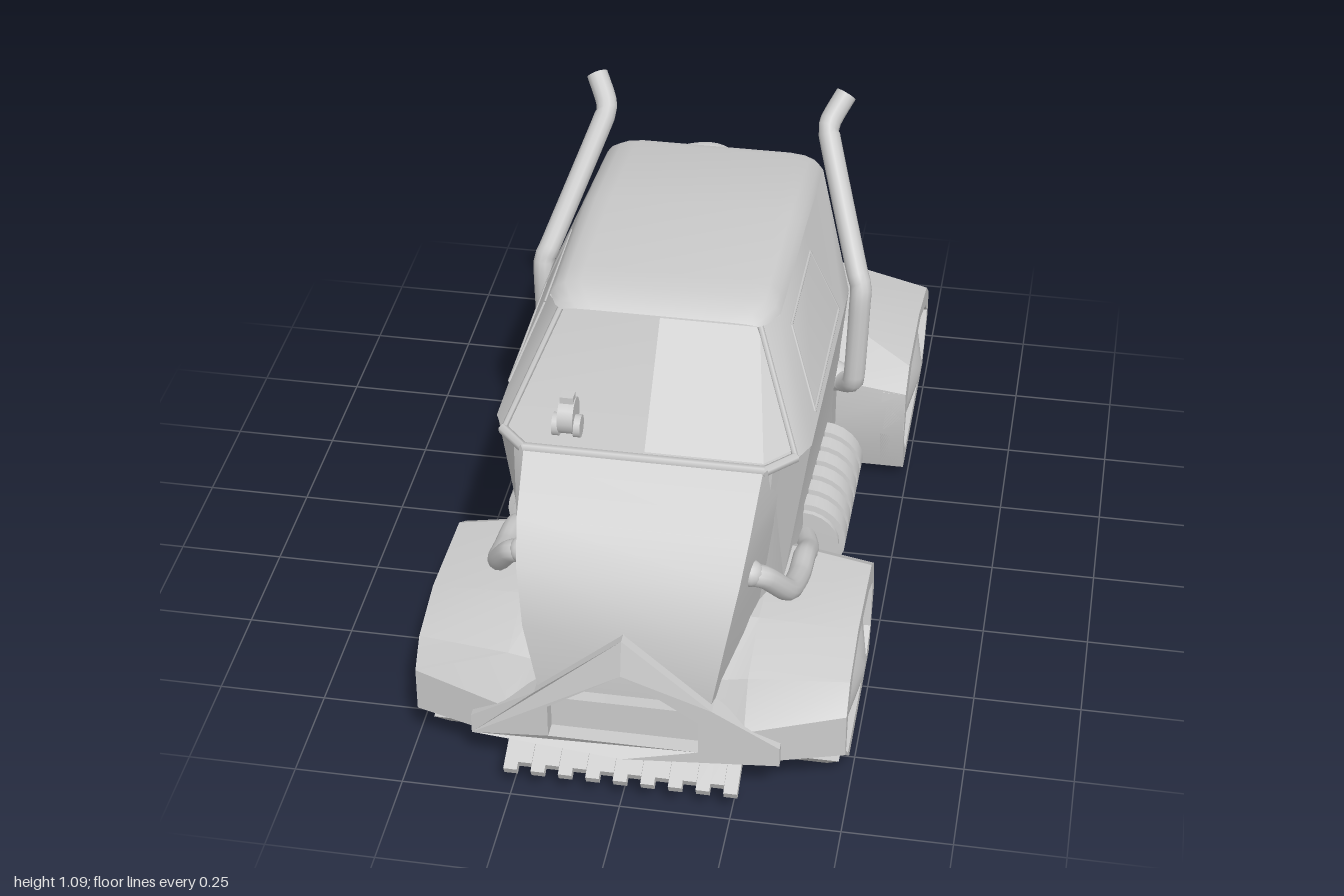
import * as THREE from 'three';
import { toCreasedNormals } from 'three/addons/utils/BufferGeometryUtils.js';

const V = (x, y, z) => new THREE.Vector3(x, y, z);
const solid = new THREE.MeshStandardMaterial({ color: 0xcccccc });
const sheet = new THREE.MeshStandardMaterial({ color: 0xcccccc, side: THREE.DoubleSide });

// Skin a row of equal-length rings, optionally closing them and capping the ends
function loft(rings, { closed = true, capA = true, capB = true, crease = 0.6 } = {}) {
  const tri = [];
  const n = rings[0].length;
  for (let i = 0; i < rings.length - 1; i++) {
    for (let j = 0; j < (closed ? n : n - 1); j++) {
      const k = (j + 1) % n;
      const [a, b, c, d] = [rings[i][j], rings[i][k], rings[i + 1][k], rings[i + 1][j]];
      tri.push(a, b, c, a, c, d);
    }
  }
  const cap = (ring, flip) => {
    const m = ring.reduce((s, p) => s.add(p), V(0, 0, 0)).divideScalar(n);
    ring.forEach((p, j) => {
      const q = ring[(j + 1) % n];
      tri.push(m, flip ? q : p, flip ? p : q);
    });
  };
  if (capA) cap(rings[0], true);
  if (capB) cap(rings[rings.length - 1], false);
  // turn all faces outwards
  const mid = tri.reduce((s, p) => s.add(p), V(0, 0, 0)).divideScalar(tri.length);
  let vol = 0;
  for (let i = 0; i < tri.length; i += 3) {
    const [a, b, c] = [0, 1, 2].map((k) => tri[i + k].clone().sub(mid));
    vol += a.dot(b.cross(c));
  }
  if (vol < 0) tri.reverse();
  return toCreasedNormals(new THREE.BufferGeometry().setFromPoints(tri), crease);
}

const mirrorRing = (half) => [...half, ...half.map((p) => V(-p.x, p.y, p.z)).reverse()];
const outline = (pts) => pts.map(([a, b]) => new THREE.Vector2(a, b));

export function createModel() {
  const model = new THREE.Group();
  const add = (name, geo, mat = solid, x = 0, y = 0, z = 0) => {
    const m = new THREE.Mesh(geo, mat);
    m.name = name;
    m.position.set(x, y, z);
    model.add(m);
    return m;
  };
  const box = (name, w, h, d, x, y, z) => add(name, new THREE.BoxGeometry(w, h, d), solid, x, y, z);
  const pipe = (name, pts, r) =>
    add(name, new THREE.TubeGeometry(new THREE.CatmullRomCurve3(pts, false, 'catmullrom', 0.4), 48, r, 12), sheet);
  const bar = (name, a, b, r) => add(name, new THREE.TubeGeometry(new THREE.LineCurve3(a, b), 1, r, 6), solid);

  // Main hull: [z, top y, top half-width, lower half-width]
  const hull = [
    [0.65, 0.71, 0.285, 0.26], [0.54, 0.71, 0.355, 0.3], [-0.1, 0.71, 0.36, 0.32], [-0.18, 0.69, 0.33, 0.32],
    [-0.42, 0.655, 0.26, 0.31], [-0.61, 0.6, 0.235, 0.285], [-0.755, 0.47, 0.23, 0.265], [-0.84, 0.34, 0.24, 0.25],
  ].map(([z, t, w, b]) => mirrorRing([V(w, t, z), V(b, 0.33, z), V(b, 0.13, z)]));
  add('hull', loft(hull, { crease: 0.35 }));

  // Hood, a curved shovel shape narrowing downwards: [y, front z, half-width]
  const hood = [
    [0.72, 0.675, 0.267], [0.63, 0.8, 0.258], [0.55, 0.87, 0.247], [0.43, 0.925, 0.225], [0.26, 0.925, 0.195],
  ].map(([y, z, w]) => mirrorRing([V(w, y, z), V(0.26 + (y - 0.26) * 0.1, y, 0.6)]));
  add('hood', loft(hood));

  // Cabin walls, open at the windscreen; the roof edge drops towards the back
  const wallRing = (pts) => mirrorRing(pts.map((p) => V(...p)));
  const sill = wallRing([[0.33, 0.712, 0.6], [0.357, 0.712, 0.54], [0.36, 0.712, 0], [0.36, 0.712, -0.1], [0.33, 0.69, -0.17]]);
  const rim = wallRing([[0.225, 0.952, 0.445], [0.26, 0.947, 0.39], [0.265, 0.942, 0], [0.265, 0.907, -0.32], [0.25, 0.903, -0.35]]);
  add('cabinWalls', loft([sill, rim], { closed: false, capA: false, capB: false }), sheet);

  // Rounded roof in sections from front to back: [z, edge half-width, edge y, crown y]
  const roof = [
    [0.45, 0.222, 0.953, 0.958], [0.43, 0.24, 0.95, 0.975], [0.38, 0.261, 0.947, 0.985], [0.32, 0.262, 0.946, 0.99],
    [0, 0.265, 0.942, 0.978], [-0.32, 0.265, 0.907, 0.94], [-0.35, 0.25, 0.903, 0.93],
  ].map(([z, w, y, top]) => mirrorRing([
    V(w, y, z), V(w - 0.012, y + (top - y) * 0.5, z), V(w - 0.035, y + (top - y) * 0.85, z), V(w - 0.07, top, z),
  ]));
  add('roof', loft(roof, { closed: false, capA: false, crease: 0.9 }), sheet);

  // Windscreen: one pane wrapping the corner, and its surrounding frame
  const pane = [V(0, 0.73, 0.65), V(0.265, 0.73, 0.65), V(0.322, 0.73, 0.588), V(0.224, 0.95, 0.445), V(0, 0.95, 0.445)];
  const glass = new THREE.BufferGeometry().setFromPoints([0, 1, 4, 1, 3, 4, 1, 2, 3].map((i) => pane[i]));
  glass.computeVertexNormals();
  add('windscreenPane', glass, sheet);
  bar('windscreenSill', V(-0.27, 0.72, 0.663), V(0.27, 0.72, 0.663), 0.012);
  for (const s of [-1, 1]) {
    bar('windscreenSillCorner', V(s * 0.27, 0.72, 0.663), V(s * 0.33, 0.72, 0.6), 0.012);
    bar('windscreenPillar', V(s * 0.33, 0.715, 0.6), V(s * 0.225, 0.952, 0.445), 0.007);
  }

  // Small control wheel on the dashboard
  const disc = (name, r, w, x, y, z) => {
    add(name, new THREE.CylinderGeometry(r, r, w, 16), solid, x, y, z).rotation.z = Math.PI / 2;
  };
  disc('controlWheel', 0.042, 0.035, -0.18, 0.775, 0.6);
  for (const s of [-1, 1]) disc('controlHub', 0.026, 0.016, -0.18 + s * 0.024, 0.755, 0.61);
  box('controlLever', 0.03, 0.05, 0.03, -0.18, 0.805, 0.6);

  // Fenders, each a skin across x between an outer, an inner and a middle profile of [z, y]
  const front = {
    outer: [[0.87, 0.11], [0.87, 0.22], [0.82, 0.28], [0.68, 0.315], [0.42, 0.3], [0.36, 0.26], [0.335, 0.18], [0.4, 0.03], [0.78, 0.03]],
    inner: [[0.935, 0.11], [0.935, 0.2], [0.88, 0.31], [0.72, 0.355], [0.42, 0.34], [0.36, 0.3], [0.335, 0.18], [0.4, 0.03], [0.78, 0.03]],
    middle: [[0.91, 0.11], [0.91, 0.22], [0.88, 0.3], [0.72, 0.355], [0.42, 0.34], [0.36, 0.3], [0.335, 0.18], [0.4, 0.03], [0.78, 0.03]],
    hole: [[0.855, 0.11], [0.84, 0.19], [0.765, 0.255], [0.66, 0.28], [0.46, 0.255], [0.375, 0.215], [0.39, 0.095], [0.455, 0.06], [0.81, 0.065]],
    xs: [0.27, 0.22],
    blend: 0,
  };
  const rear = {
    outer: [[-0.31, 0.15], [-0.32, 0.27], [-0.39, 0.312], [-0.62, 0.315], [-0.84, 0.26], [-0.915, 0.2], [-0.915, 0.13], [-0.82, 0.03], [-0.34, 0.03]],
    inner: [[-0.31, 0.15], [-0.325, 0.3], [-0.54, 0.38], [-0.68, 0.36], [-0.82, 0.335], [-0.96, 0.21], [-0.96, 0.135], [-0.82, 0.03], [-0.34, 0.03]],
    middle: [[-0.31, 0.15], [-0.325, 0.3], [-0.54, 0.385], [-0.68, 0.365], [-0.82, 0.34], [-1, 0.2], [-1, 0.135], [-0.82, 0.03], [-0.34, 0.03]],
    hole: [[-0.33, 0.12], [-0.37, 0.215], [-0.46, 0.27], [-0.68, 0.27], [-0.82, 0.215], [-0.885, 0.16], [-0.84, 0.065], [-0.38, 0.06]],
    xs: [0.24, 0.05],
    blend: 0.2,
  };
  for (const [name, f] of [['front', front], ['rear', rear]]) {
    const ring = (x, pts) => pts.map(([z, y]) => V(x, y, z));
    const nearMiddle = f.middle.map(([z, y], i) => [z + (f.inner[i][0] - z) * f.blend, y]);
    add(name + 'Fender', loft([
      ring(-0.489, f.outer), ring(-f.xs[0], f.inner), ring(-f.xs[1], nearMiddle), ring(0, f.middle),
      ring(f.xs[1], nearMiddle), ring(f.xs[0], f.inner), ring(0.489, f.outer),
    ], { capA: false, capB: false, crease: 0.35 }), sheet);
    const shape = new THREE.Shape(outline(f.outer));
    shape.holes.push(new THREE.Path(outline(f.hole)));
    const lip = new THREE.ExtrudeGeometry(shape, { depth: 0.06, bevelEnabled: false }).rotateY(-Math.PI / 2);
    // Shallow domed wheel cover that follows the opening
    const cz = (f.hole[0][0] + f.hole[5][0]) / 2;
    const shrink = (x, k) => f.hole.map(([z, y]) => V(x, 0.155 + (y - 0.155) * k, cz + (z - cz) * k));
    const cover = loft([
      shrink(0, 1.01), shrink(0.005, 0.95), shrink(0.025, 0.85), shrink(0.043, 0.62), shrink(0.056, 0.35), shrink(0.068, 0.1),
    ], { capA: false, crease: 0.5 });
    for (const s of [-1, 1]) {
      add(name + 'FenderLip', lip, solid, s > 0 ? 0.49 : -0.43);
      add(name + 'WheelCover', cover, sheet, s * 0.434).scale.x = s;
    }
  }

  // Hollow tapering feet beneath the fenders
  const foot = (name, x0, x1, z0, z1) => add(name, loft([[0.035, 0.03], [0, 0], [0, -0.035], [0.025, -0.04]].map(([y, e]) =>
    [V(x0 - e, y, z0 - e), V(x1 + e, y, z0 - e), V(x1 + e, y, z1 + e), V(x0 - e, y, z1 + e)])));
  foot('frontFoot', 0.27, 0.44, 0.42, 0.78);
  foot('frontFoot', -0.44, -0.27, 0.42, 0.78);
  foot('rearFoot', -0.44, 0.44, -0.82, -0.54);

  // Gabled grille frame, swept back to the sides and at its peak
  const grille = new THREE.Shape(outline([[-0.35, 0.11], [0, 0.11], [0.35, 0.11], [0.35, 0.16], [0.2, 0.26], [0, 0.435], [-0.2, 0.26], [-0.35, 0.16]]));
  grille.holes.push(new THREE.Path(outline([[-0.17, 0.14], [0.17, 0.14], [0.17, 0.225], [0, 0.35], [-0.17, 0.225]])));
  const frame = new THREE.ExtrudeGeometry(grille, { depth: 0.07, bevelEnabled: false });
  const pos = frame.attributes.position;
  for (let i = 0; i < pos.count; i++) {
    pos.setZ(i, pos.getZ(i) - Math.max(0, pos.getY(i) - 0.35) * 0.2 - Math.abs(pos.getX(i)) * 0.1);
  }
  frame.computeVertexNormals();
  add('grille', frame, solid, 0, 0, 0.896);

  // Slatted combs at both ends
  for (let i = 0; i < 17; i++) {
    const x = (i - 8) * 0.0312;
    const low = i % 2 === 0;
    const a = box('frontComb', 0.031, 0.022, 0.09, x, low ? 0.08 : 0.09, low ? 0.95 : 0.935);
    a.rotation.x = 0.45;
    const b = box('rearComb', 0.031, 0.018, 0.09, x, low ? 0.06 : 0.07, low ? -0.9 : -0.89);
    b.rotation.x = -0.55;
  }

  for (const s of [-1, 1]) {
    // Ribbed side tanks with a fringe of slats below
    const tank = [[0, -0.09], [0.09, -0.09]];
    for (let i = 0; i < 6; i++) {
      const z = -0.09 + i * 0.06;
      tank.push([0.1, z + 0.002], [0.1, z + 0.044], [0.085, z + 0.046], [0.085, z + 0.058]);
    }
    tank.push([0, 0.27]);
    const ribs = toCreasedNormals(new THREE.LatheGeometry(outline(tank), 24).rotateX(Math.PI / 2), 0.6);
    add('sideTank', ribs, solid, s * 0.31, 0.23, 0);
    for (let i = 0; i < 18; i++) {
      box('sideFringe', i % 2 ? 0.05 : 0.07, i % 2 ? 0.055 : 0.07, 0.0305, s * 0.31, i % 2 ? 0.1 : 0.09, 0.255 - i * 0.0295);
    }

    // Exhaust stack
    pipe('exhaust', [
      V(s * 0.29, 0.41, -0.18), V(s * 0.345, 0.41, -0.155), V(s * 0.375, 0.44, -0.115), V(s * 0.38, 0.48, -0.11),
      V(s * 0.386, 0.66, -0.115), V(s * 0.386, 0.71, -0.125), V(s * 0.37, 0.75, -0.15),
      V(s * 0.28, 0.98, -0.33), V(s * 0.272, 1.01, -0.355), V(s * 0.28, 1.03, -0.375), V(s * 0.305, 1.07, -0.41),
    ], 0.026);
    add('exhaustFlange', new THREE.SphereGeometry(0.038, 14, 10), solid, s * 0.325, 0.41, -0.175);

    // Hose from the hood to the side tank
    pipe('coolingHose', [
      V(s * 0.23, 0.515, 0.77), V(s * 0.285, 0.5, 0.755), V(s * 0.33, 0.42, 0.69), V(s * 0.34, 0.375, 0.58),
      V(s * 0.34, 0.355, 0.48), V(s * 0.335, 0.29, 0.37), V(s * 0.31, 0.24, 0.25),
    ], 0.026);
    add('hoseCollar', new THREE.SphereGeometry(0.031, 14, 10), solid, s * 0.255, 0.515, 0.765);

    // Raised outline of the side window
    const win = [[0.735, 0.44], [0.9, 0.35], [0.9, 0.04], [0.735, 0.02]]
      .map(([y, z]) => V(s * (0.359 - (y - 0.712) * 0.415), y, z));
    win.forEach((p, i) => bar('sideWindowTrim', p, win[(i + 1) % 4], 0.004));
  }

  // Octagonal engine ports on the rear deck, each with an arched pipe
  for (const [y, z, tilt] of [[0.55, -0.645, -0.5], [0.64, -0.37, -0.2]]) {
    const port = new THREE.Shape();
    const hole = new THREE.Path();
    for (let i = 0; i < 8; i++) {
      const a = (i + 0.5) * Math.PI / 4;
      port[i ? 'lineTo' : 'moveTo'](0.137 * Math.cos(a), 0.137 * Math.sin(a));
      hole[i ? 'lineTo' : 'moveTo'](0.07 * Math.cos(a), 0.07 * Math.sin(a));
    }
    port.holes.push(hole);
    const geo = new THREE.ExtrudeGeometry(port, { depth: 0.09, bevelEnabled: false }).rotateX(-Math.PI / 2).translate(0, -0.05, 0);
    add('enginePort', geo, solid, 0, y, z).rotation.x = tilt;
  }
  pipe('rearPipe', [V(0.01, 0.52, -0.66), V(0, 0.63, -0.695), V(-0.06, 0.675, -0.715), V(-0.14, 0.675, -0.69),
    V(-0.205, 0.64, -0.61), V(-0.23, 0.57, -0.52)], 0.042);
  pipe('upperPipe', [V(-0.02, 0.6, -0.36), V(0, 0.71, -0.36), V(0.06, 0.745, -0.385), V(0.14, 0.745, -0.425),
    V(0.21, 0.71, -0.49), V(0.235, 0.58, -0.53)], 0.042);

  return model;
}
